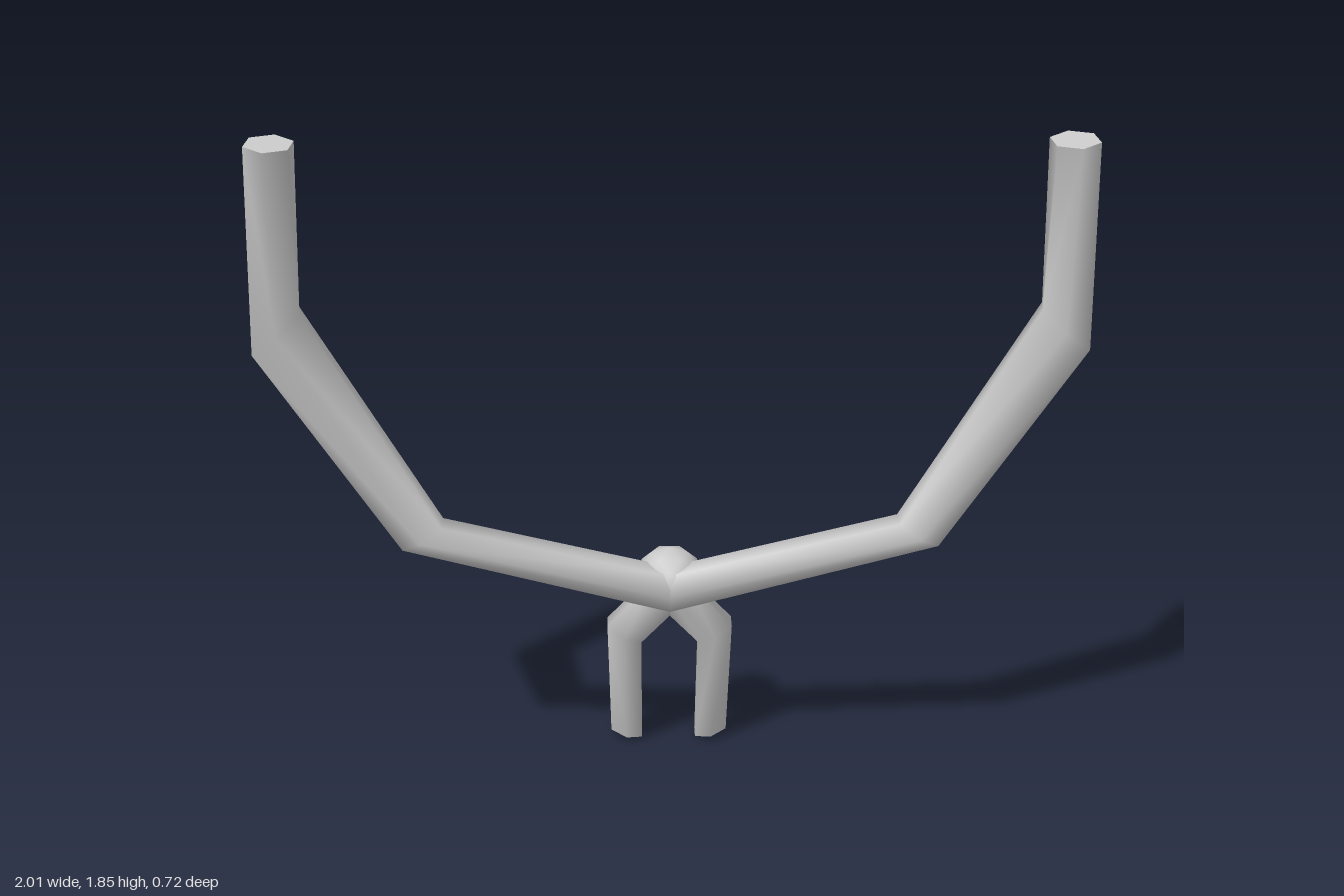
import * as THREE from 'three';

const SIDES = 6;
const material = new THREE.MeshStandardMaterial({ color: 0xcccccc });

// Each cross-section: centre, half width across, half depth
const ARM = [
  { c: [0, 0.552, -0.09], u: [0, -0.052, 0], v: [0, 0, 0.06] },
  { c: [0.63, 0.77, 0.03], u: [0.05, -0.03, 0], v: [0, 0, 0.067] },
  { c: [0.94, 1.367, 0.18], u: [0.06, -0.05, 0], v: [-0.01, 0, 0.064] },
  { c: [0.907, 1.847, 0.293], u: [0.05, 0.004, 0], v: [0.005, -0.005, 0.067] },
];
const LEG = [
  { c: [0, 0.555, -0.1], u: [-0.04, -0.03, 0], v: [0, 0, 0.055] },
  { c: [0.121, 0.405, -0.147], u: [-0.045, -0.024, 0], v: [0, 0, 0.058] },
  { c: [0.117, 0.018, -0.3], u: [-0.043, -0.012, 0], v: [0, 0.005, 0.06] },
];

// Six-sided limb skinned through its cross-sections, with a flat end
function limb(name, rings, side) {
  const positions = [];
  const index = [];
  const face = (a, b, c) => index.push(...(side > 0 ? [a, b, c] : [a, c, b]));

  const addRing = ({ c, u, v }) => {
    const across = 1 / Math.cos(Math.PI / 6);
    for (let i = 0; i < SIDES; i++) {
      const a = (i / SIDES) * Math.PI * 2 + Math.PI / 6;
      const p = c.map((k, n) => k + u[n] * across * Math.cos(a) + v[n] * Math.sin(a));
      positions.push(p[0] * side, p[1], p[2]);
    }
  };

  rings.forEach(addRing);
  for (let r = 0; r < rings.length - 1; r++) {
    for (let i = 0; i < SIDES; i++) {
      const a = r * SIDES + i;
      const b = r * SIDES + ((i + 1) % SIDES);
      face(a, a + SIDES, b);
      face(b, a + SIDES, b + SIDES);
    }
  }

  // Cap has its own vertices so its edge stays sharp
  const start = rings.length * SIDES;
  addRing(rings[rings.length - 1]);
  for (let i = 1; i < SIDES - 1; i++) face(start, start + i + 1, start + i);

  const geometry = new THREE.BufferGeometry();
  geometry.setAttribute('position', new THREE.Float32BufferAttribute(positions, 3));
  geometry.setIndex(index);
  geometry.computeVertexNormals();
  const mesh = new THREE.Mesh(geometry, material);
  mesh.name = name;
  return mesh;
}

export function createModel() {
  const model = new THREE.Group();
  model.name = 'branchingFrame';

  // Long raised arms and short legs, mirrored about the middle
  for (const [label, side] of [['left', 1], ['right', -1]]) {
    model.add(limb(label + 'Arm', ARM, side));
    model.add(limb(label + 'Leg', LEG, side));
  }

  // Ball behind the joint
  const ball = new THREE.Mesh(new THREE.IcosahedronGeometry(0.09, 1), material);
  ball.name = 'jointBall';
  ball.position.set(0, 0.565, -0.13);
  model.add(ball);

  return model;
}
